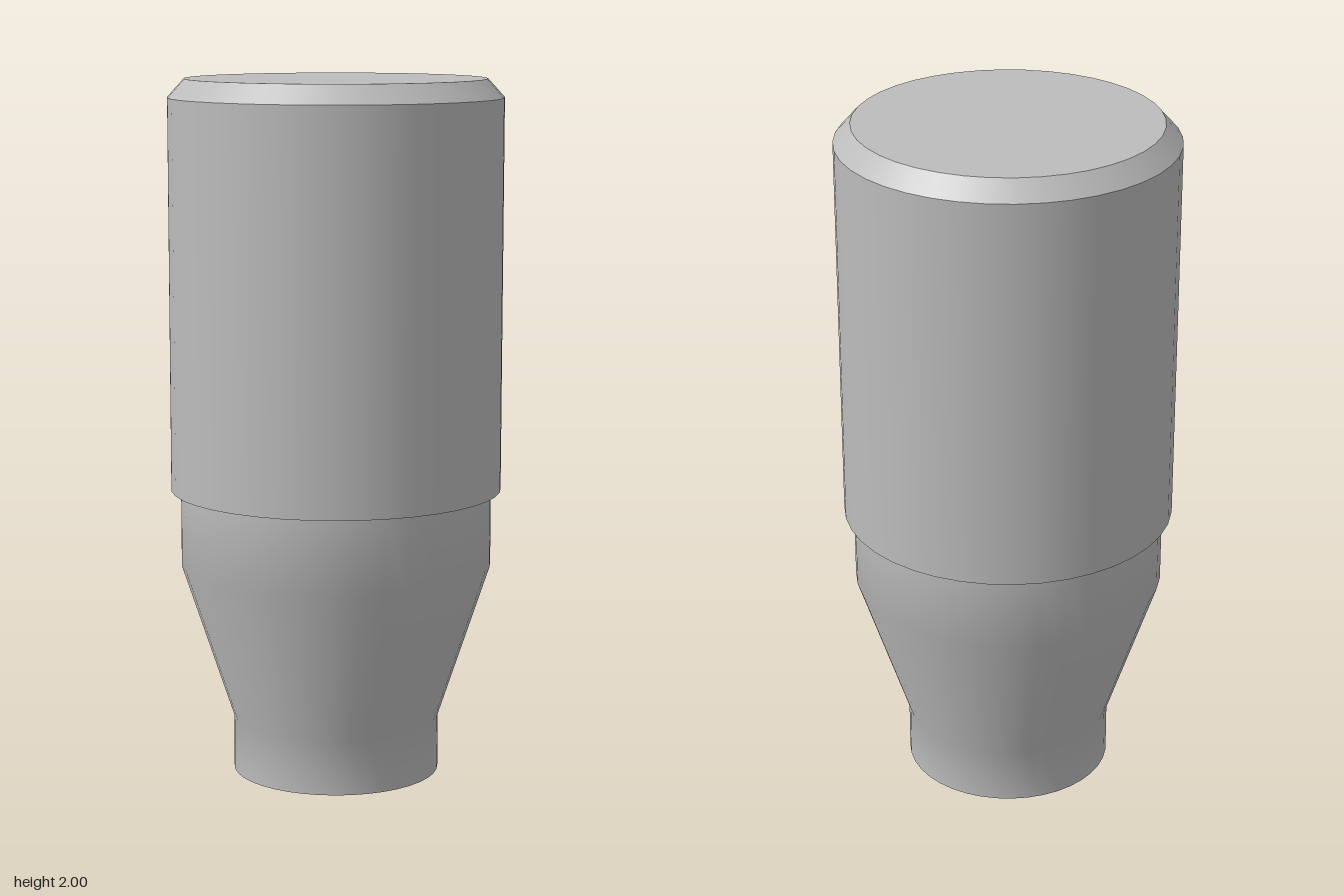
import * as THREE from 'three';

const SEGMENTS = 40;

export function createModel() {
  const group = new THREE.Group();
  const grey = new THREE.MeshStandardMaterial({ color: 0xbcbcbc });
  grey.name = 'plain grey';

  // Each band is a separate lathe, so edges between bands stay sharp
  const band = (name, profile) => {
    const points = profile.map(([r, y]) => new THREE.Vector2(r, y));
    const mesh = new THREE.Mesh(new THREE.LatheGeometry(points, SEGMENTS), grey);
    mesh.name = name;
    group.add(mesh);
  };

  // Narrow foot, flaring smoothly into the neck
  band('footBase', [[0, 0], [0.298, 0]]);
  band('taperedNeck', [[0.298, 0], [0.298, 0.16], [0.447, 0.61], [0.447, 0.83]]);

  // Wide barrel with an underside lip and a chamfered top
  band('barrelLip', [[0.447, 0.83], [0.475, 0.83]]);
  band('barrel', [[0.475, 0.83], [0.475, 1.947]]);
  band('topChamfer', [[0.475, 1.947], [0.427, 2]]);
  band('topFace', [[0.427, 2], [0, 2]]);

  return group;
}
